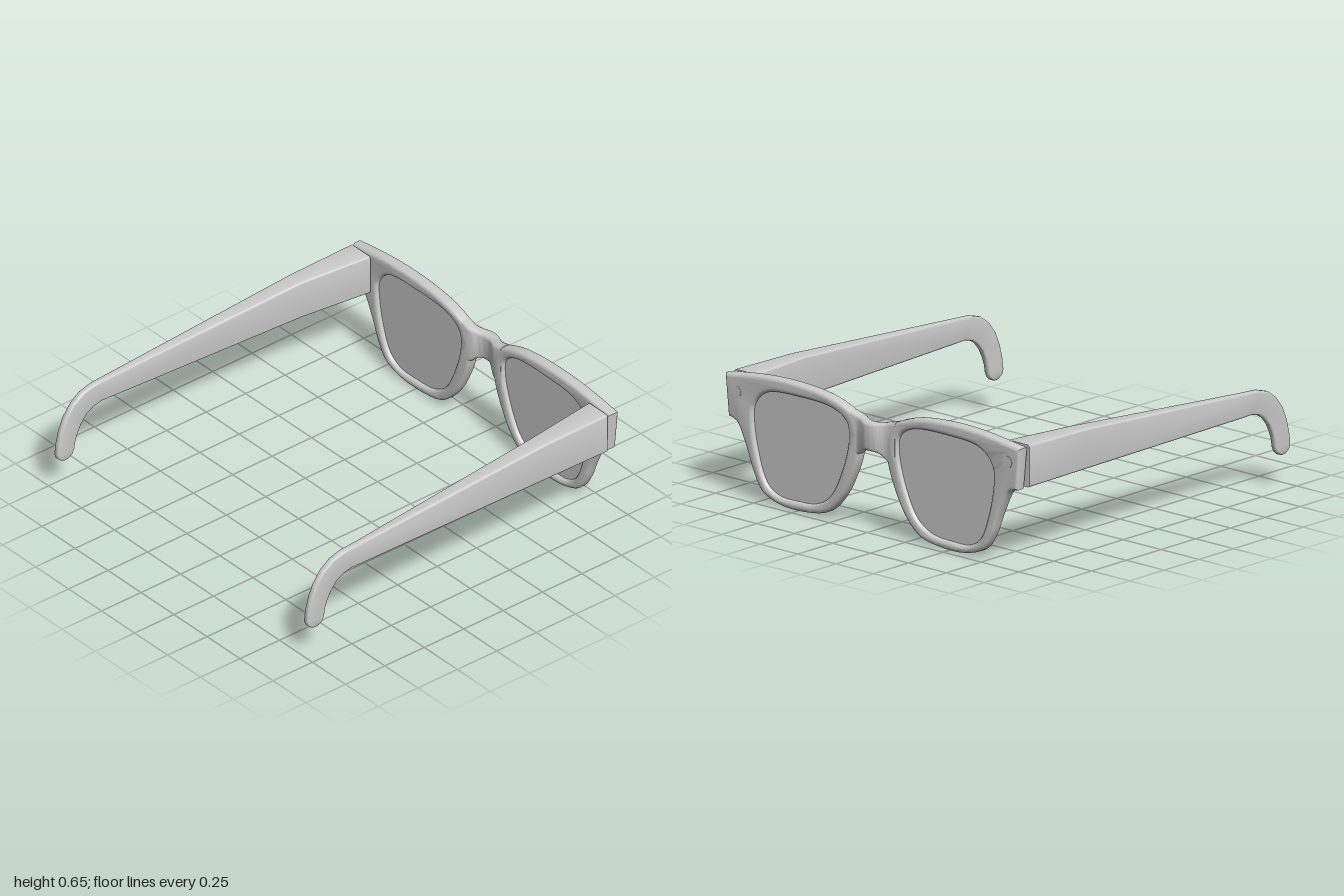
import * as THREE from 'three';
import { toCreasedNormals } from 'three/addons/utils/BufferGeometryUtils.js';

const material = new THREE.MeshStandardMaterial({ color: 0xcccccc });
const BACK = -0.967, DEPTH = 0.064;
const v2 = (list) => list.map(([x, y]) => new THREE.Vector2(x, y));

// Mirror a non-indexed geometry across x = 0, keeping faces outward.
function mirrored(source) {
  const g = source.clone();
  for (const name of ['position', 'normal']) {
    const a = g.attributes[name];
    for (let i = 0; i < a.count; i += 3) {
      const p = [0, 2, 1].map((k) => [-a.getX(i + k), a.getY(i + k), a.getZ(i + k)]);
      p.forEach((q, k) => a.setXYZ(i + k, ...q));
    }
  }
  return g;
}

// Rounded rectangle, counter-clockwise, as [u, v] pairs.
function roundRect(w, h, r, n = 4) {
  const pts = [];
  for (let c = 0; c < 4; c++) {
    const cu = (c === 0 || c === 3 ? 1 : -1) * (w / 2 - r);
    const cv = (c < 2 ? 1 : -1) * (h / 2 - r);
    for (let k = 0; k <= n; k++) {
      const a = (c + k / n) * Math.PI / 2;
      pts.push([cu + r * Math.cos(a), cv + r * Math.sin(a)]);
    }
  }
  return pts;
}

// Skin a list of equal rings and close both ends.
function loft(rings, crease) {
  const n = rings[0].length, last = (rings.length - 1) * n, index = [];
  for (let i = 0; i < rings.length - 1; i++) {
    for (let j = 0; j < n; j++) {
      const a = i * n + j, b = i * n + (j + 1) % n;
      index.push(a, b, b + n, a, b + n, a + n);
    }
  }
  for (let j = 1; j < n - 1; j++) {
    index.push(0, j + 1, j, last, last + j, last + j + 1);
  }
  const g = new THREE.BufferGeometry();
  g.setAttribute('position', new THREE.Float32BufferAttribute(rings.flat(2), 3));
  g.setIndex(index);
  return toCreasedNormals(g, crease);
}

const lensOutline = new THREE.CatmullRomCurve3(
  [[0.795, 0.42], [0.785, 0.487], [0.71, 0.56], [0.487, 0.582], [0.25, 0.565],
    [0.172, 0.513], [0.162, 0.424], [0.215, 0.24], [0.288, 0.115], [0.38, 0.06],
    [0.51, 0.047], [0.63, 0.053], [0.705, 0.1], [0.764, 0.24]]
    .map(([x, y]) => new THREE.Vector3(x, y, 0)), true, 'centripetal')
  .getPoints(72).slice(0, -1).map((p) => new THREE.Vector2(p.x, p.y));

// Rim with its end piece, edges rounded over.
function rimGeometry() {
  const top = new THREE.SplineCurve(v2([[0.11, 0.555], [0.19, 0.598], [0.325, 0.633],
    [0.53, 0.648], [0.74, 0.64], [0.975, 0.61]])).getPoints(30);
  const lower = new THREE.SplineCurve(v2([[0.925, 0.39], [0.885, 0.36], [0.827, 0.24],
    [0.785, 0.136], [0.72, 0.047], [0.59, 0.006], [0.435, 0.006], [0.3, 0.037],
    [0.2, 0.136], [0.13, 0.267], [0.095, 0.37], [0.088, 0.48]])).getPoints(66);
  const shape = new THREE.Shape([...top, new THREE.Vector2(0.953, 0.395), ...lower]);
  shape.holes.push(new THREE.Path(lensOutline));
  const bevel = 0.019;
  const g = new THREE.ExtrudeGeometry(shape, {
    depth: DEPTH - 2 * bevel, bevelThickness: bevel, bevelSize: bevel,
    bevelOffset: -bevel, bevelSegments: 5,
  });
  g.translate(0, 0, BACK + bevel);
  return toCreasedNormals(g, 0.5);
}

function lensGeometry() {
  const g = new THREE.ExtrudeGeometry(new THREE.Shape(lensOutline), { depth: 0.02, bevelEnabled: false });
  g.translate(0, 0, BACK + DEPTH / 2 - 0.01);
  return toCreasedNormals(g, 0.5);
}

// Bridge: rounded sections along x that bow away from the face.
function bridgeGeometry() {
  const top = new THREE.SplineCurve(v2([[0, 0.557], [0.05, 0.559], [0.09, 0.566], [0.15, 0.582]]));
  const bottom = new THREE.SplineCurve(v2([[0, 0.413], [0.05, 0.406], [0.09, 0.375], [0.15, 0.33]]));
  const rings = [], steps = 16;
  for (let i = -steps; i <= steps; i++) {
    const t = Math.abs(i) / steps, a = top.getPoint(t), b = bottom.getPoint(t);
    const x = Math.sign(i) * a.x;
    const bow = 0.033 * (1 - THREE.MathUtils.smoothstep(Math.abs(x), 0.01, 0.105));
    const z = BACK + DEPTH / 2 - bow;
    rings.push(roundRect(DEPTH - 0.001, a.y - b.y, 0.019)
      .map(([u, v]) => [x, (a.y + b.y) / 2 + v, z - u]));
  }
  return loft(rings, 0.6);
}

// Temple: each row is top z, y, bottom z, y, then inner and outer x.
function templeGeometry() {
  const rows = [
    [-0.895, 0.615, -0.895, 0.4, 0.826, 0.972],
    [-0.5, 0.609, -0.5, 0.403, 0.873, 0.97],
    [0.65, 0.535, 0.65, 0.412, 0.925, 0.966],
    [0.77, 0.528, 0.72, 0.414, 0.927, 0.965],
    [0.84, 0.508, 0.77, 0.402, 0.928, 0.965],
    [0.9, 0.465, 0.81, 0.378, 0.929, 0.964],
    [0.945, 0.405, 0.845, 0.338, 0.929, 0.964],
    [0.975, 0.335, 0.87, 0.29, 0.929, 0.964],
    [0.993, 0.265, 0.884, 0.248, 0.929, 0.963],
    [1.0, 0.21, 0.89, 0.21, 0.929, 0.963],
    [0.993, 0.188, 0.9, 0.186, 0.929, 0.963],
    [0.972, 0.169, 0.92, 0.169, 0.931, 0.961],
    [0.958, 0.164, 0.933, 0.164, 0.934, 0.958],
  ];
  return loft(rows.map(([tz, ty, bz, by, x0, x1]) => {
    const h = Math.hypot(tz - bz, ty - by);
    return roundRect(x1 - x0, h, 0.011).map(([u, v]) => [
      (x0 + x1) / 2 + u,
      (ty + by) / 2 + v * (ty - by) / h,
      (tz + bz) / 2 + v * (tz - bz) / h,
    ]);
  }), 0.5);
}

// Small flush disc on the outer face of each end piece.
function rivetGeometry() {
  const g = new THREE.CylinderGeometry(0.03, 0.03, 0.008, 28);
  g.rotateX(Math.PI / 2).translate(0.893, 0.53, BACK + 0.002);
  return toCreasedNormals(g, 0.5);
}

export function createModel() {
  const model = new THREE.Group();
  model.name = 'glasses';
  const add = (name, geometry) => {
    const mesh = new THREE.Mesh(geometry, material);
    mesh.name = name;
    model.add(mesh);
  };
  const parts = {
    Rim: rimGeometry(), Lens: lensGeometry(), Temple: templeGeometry(), Rivet: rivetGeometry(),
  };
  for (const [name, geometry] of Object.entries(parts)) {
    add('left' + name, geometry);
    add('right' + name, mirrored(geometry));
  }
  add('bridge', bridgeGeometry());
  return model;
}
